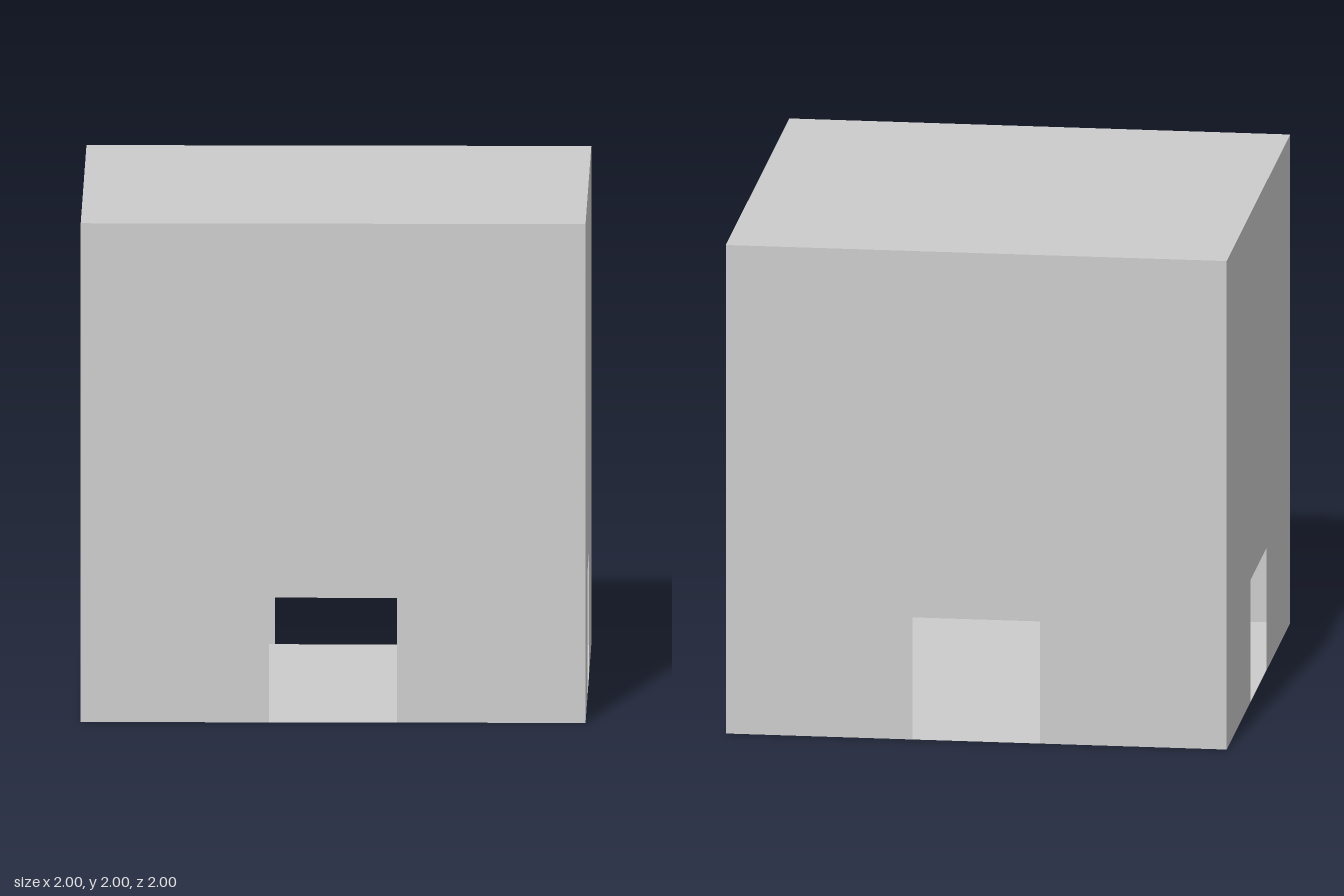
import * as THREE from 'three';

const SIZE = 2, HALF = SIZE / 2;
const DOOR_HALF = 0.254, DOOR_HEIGHT = 0.5;

export function createModel() {
  const group = new THREE.Group();
  group.name = 'hollowRoom';
  const material = new THREE.MeshStandardMaterial({ color: 0xcccccc, side: THREE.DoubleSide });

  // Thin wall outline with a doorway cut up from the ground
  const outline = new THREE.Shape([
    [-HALF, 0], [-DOOR_HALF, 0], [-DOOR_HALF, DOOR_HEIGHT], [DOOR_HALF, DOOR_HEIGHT],
    [DOOR_HALF, 0], [HALF, 0], [HALF, SIZE], [-HALF, SIZE],
  ].map(([x, y]) => new THREE.Vector2(x, y)));
  const wallGeometry = new THREE.ShapeGeometry(outline).translate(0, 0, HALF);

  // Four identical walls around the centre
  ['frontWall', 'leftWall', 'backWall', 'rightWall'].forEach((name, i) => {
    const wall = new THREE.Mesh(wallGeometry, material);
    wall.name = name;
    wall.rotation.y = i * Math.PI / 2;
    group.add(wall);
  });

  // Flat roof and floor, each facing outwards
  const addSlab = (name, y, tilt) => {
    const slab = new THREE.Mesh(new THREE.PlaneGeometry(SIZE, SIZE), material);
    slab.name = name;
    slab.rotation.x = tilt;
    slab.position.y = y;
    group.add(slab);
  };
  addSlab('roof', SIZE, -Math.PI / 2);
  addSlab('floor', 0, Math.PI / 2);

  return group;
}
